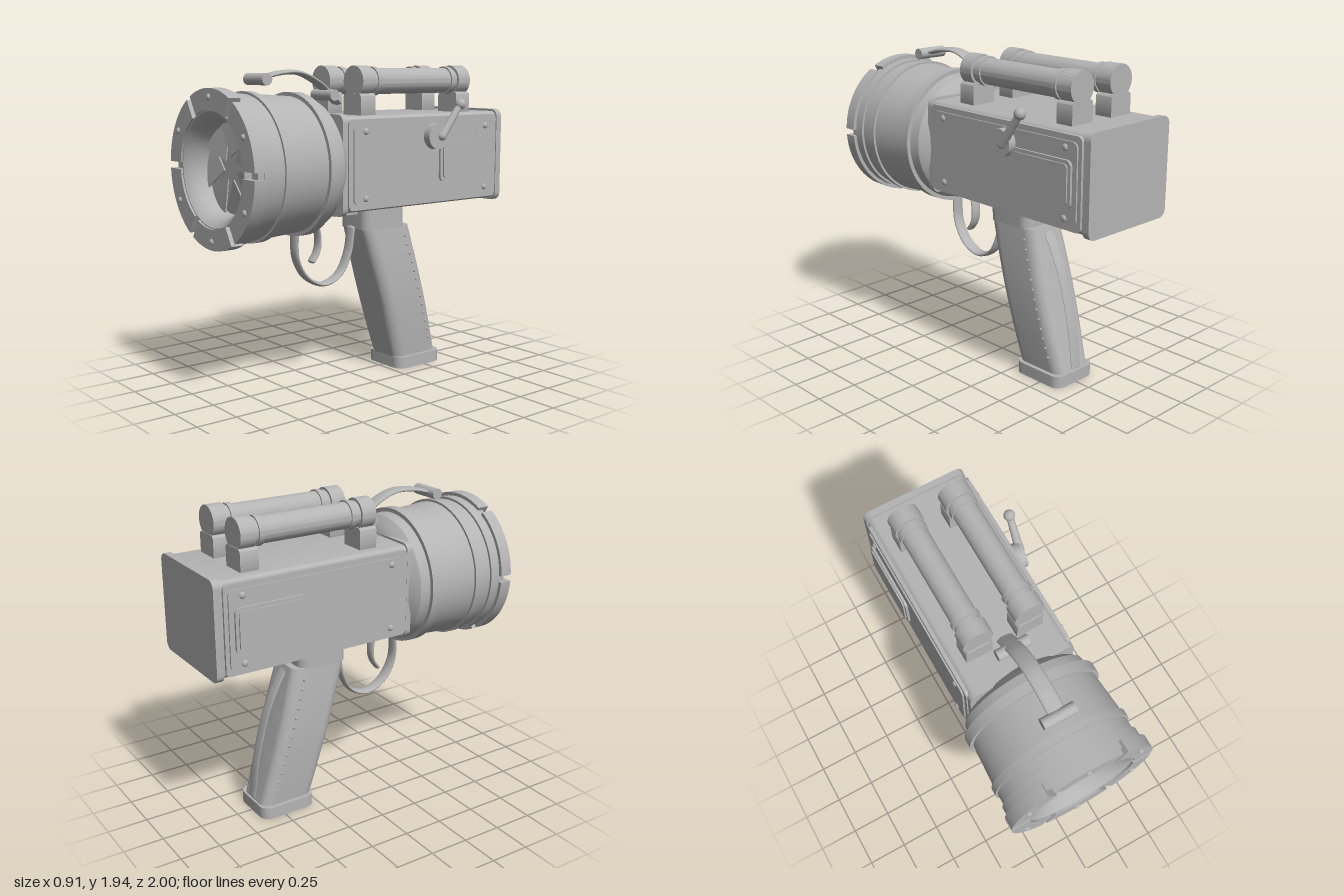
import * as THREE from 'three';
import { toCreasedNormals } from 'three/addons/utils/BufferGeometryUtils.js';

export function createModel() {
  const root = new THREE.Group();
  root.name = 'lampGun';
  const grey = new THREE.MeshStandardMaterial({ color: 0xb4b4b4 });
  grey.name = 'grey';

  const add = (name, geo, x = 0, y = 0, z = 0, parent = root) => {
    const m = new THREE.Mesh(geo, grey);
    m.name = name;
    m.position.set(x, y, z);
    parent.add(m);
    return m;
  };

  // Rounded rectangle in XY, extruded along +z
  const slab = (w, h, r, depth, steps = 1) => {
    const a = w / 2, b = h / 2, s = new THREE.Shape();
    s.absarc(a - r, b - r, r, 0, Math.PI / 2);
    s.absarc(-a + r, b - r, r, Math.PI / 2, Math.PI);
    s.absarc(-a + r, -b + r, r, Math.PI, Math.PI * 1.5);
    s.absarc(a - r, -b + r, r, Math.PI * 1.5, Math.PI * 2);
    s.closePath();
    return toCreasedNormals(new THREE.ExtrudeGeometry(s, { depth, steps, bevelEnabled: false, curveSegments: 6 }), 0.6);
  };
  // Same, standing on its back: extruded along +y
  const standing = (w, d, r, h, steps) => slab(w, d, r, h, steps).rotateX(-Math.PI / 2);

  // Surface of revolution about z from [radius, z] pairs
  const turned = (pts) => toCreasedNormals(
    new THREE.LatheGeometry(pts.map(p => new THREE.Vector2(...p)), 64).rotateX(Math.PI / 2), 0.5);

  // Flat oval strap through [z, y] points, widened in x, with rounded ends
  const strap = (name, pts, halfWidth, thick) => {
    const g = new THREE.Group();
    g.name = name;
    const v = pts.map(([z, y]) => new THREE.Vector3(0, y, z));
    const k = halfWidth / thick;
    add(name + 'Band', new THREE.TubeGeometry(new THREE.CatmullRomCurve3(v), 40, thick, 16).scale(k, 1, 1), 0, 0, 0, g);
    for (const p of [v[0], v[v.length - 1]]) {
      add(name + 'End', new THREE.SphereGeometry(thick, 16, 10).scale(k, 1, 1), p.x, p.y, p.z, g);
    }
    root.add(g);
  };

  const cy = 1.36; // barrel axis height

  // Barrel shell with hoops and an inner bowl
  add('barrel', turned([
    [0, 0.265], [0.29, 0.265], [0.34, 0.29], [0.388, 0.335], [0.4, 0.397],
    [0.425, 0.397], [0.425, 0.46], [0.402, 0.46], [0.42, 0.724],
    [0.434, 0.724], [0.434, 0.77], [0.42, 0.77], [0.42, 0.847],
    [0.434, 0.847], [0.434, 0.91], [0.338, 0.91], [0.338, 0.975],
    [0.328, 0.975], [0.303, 0.955], [0.28, 0.915], [0.267, 0.865], [0.262, 0.81], [0, 0.81],
  ]), 0, cy, 0);

  // Front ring: six segments, screws and joining blocks
  for (let i = 0; i < 6; i++) {
    const a = i * Math.PI / 3, e = a + Math.PI / 3;
    const s = new THREE.Shape();
    s.absarc(0, 0, 0.455, a + 0.044, e - 0.044, false);
    s.absarc(0, 0, 0.335, e - 0.06, a + 0.06, true);
    s.closePath();
    add('ringSegment', toCreasedNormals(new THREE.ExtrudeGeometry(s,
      { depth: 0.077, bevelEnabled: false, curveSegments: 14 }), 0.5), 0, cy, 0.91);
    const m = a + Math.PI / 6;
    add('ringScrew', new THREE.SphereGeometry(0.019, 14, 10).scale(1, 1, 0.8),
      0.405 * Math.cos(m), cy + 0.405 * Math.sin(m), 0.985);
    add('ringBlock', new THREE.BoxGeometry(0.06, 0.04, 0.05),
      0.4 * Math.cos(a), cy + 0.4 * Math.sin(a), 0.925).rotation.z = a;
  }

  // Iris: overlapping tilted blades
  for (let i = 0; i < 7; i++) {
    const s = new THREE.Shape();
    s.moveTo(0.03, -0.05);
    s.absarc(0, 0, 0.26, -0.3, 0.75, false);
    s.lineTo(0.06, 0.03);
    s.closePath();
    const g = new THREE.ExtrudeGeometry(s, { depth: 0.008, bevelEnabled: false });
    const p = g.attributes.position;
    for (let j = 0; j < p.count; j++) p.setZ(j, p.getZ(j) + 0.022 + 0.035 * Math.atan2(p.getY(j), p.getX(j) + 0.05));
    add('irisBlade', toCreasedNormals(g, 0.3), 0, cy, 0.815).rotation.z = i * Math.PI * 2 / 7 + 0.2;
  }

  // Body box with end flanges
  add('body', slab(0.64, 0.563, 0.04, 1.24), 0, 1.365, -0.97);
  add('frontFlange', slab(0.66, 0.593, 0.05, 0.035), 0, 1.363, 0.27);
  add('backFlange', slab(0.66, 0.593, 0.05, 0.043), 0, 1.363, -1);

  // Side plates, raised panel and screws on both sides
  for (const sx of [1, -1]) {
    const side = new THREE.Group();
    side.name = sx > 0 ? 'leftSide' : 'rightSide';
    const plate = (name, w, h, r, d, x, y, z) => {
      add(name, slab(w, h, r, d), sx * x, y, z, side).rotation.y = sx * Math.PI / 2;
    };
    plate('sidePlate', 1.21, 0.53, 0.03, 0.025, 0.31, 1.365, -0.34);
    plate('innerPlate', 1.155, 0.465, 0.035, 0.025, 0.32, 1.365, -0.343);
    plate('panelFrame', 0.455, 0.268, 0.035, 0.02, 0.34, 1.362, -0.662);
    plate('panelFace', 0.415, 0.228, 0.025, 0.012, 0.357, 1.362, -0.662);
    for (const y of [1.56, 1.167]) for (const z of [0.147, -0.835]) {
      add('sideScrew', new THREE.SphereGeometry(0.02, 14, 10).scale(0.6, 1, 1), sx * 0.345, y, z, side);
    }
    root.add(side);
  }

  // Lever on the left side
  const disc = new THREE.CylinderGeometry(0.08, 0.08, 0.05, 32).rotateZ(Math.PI / 2);
  add('leverDisc', disc, 0.37, 1.512, -0.386);
  const from = new THREE.Vector3(0.395, 1.512, -0.41), to = new THREE.Vector3(0.402, 1.703, -0.555);
  const rod = add('leverRod', new THREE.CylinderGeometry(0.02, 0.028, from.distanceTo(to), 20));
  rod.position.copy(from).lerp(to, 0.5);
  rod.quaternion.setFromUnitVectors(new THREE.Vector3(0, 1, 0), to.clone().sub(from).normalize());
  add('leverFoot', new THREE.SphereGeometry(0.028, 20, 12), from.x, from.y, from.z);
  add('leverKnob', new THREE.SphereGeometry(0.034, 20, 14), to.x, to.y, to.z);

  // Twin tubes on top, each on two blocks
  for (const x of [0.16, -0.16]) {
    add('topTube', turned([
      [0, -0.785], [0.093, -0.785], [0.093, -0.686], [0.078, -0.686], [0.078, -0.665],
      [0.087, -0.665], [0.087, -0.632], [0.078, -0.632], [0.078, -0.065],
      [0.087, -0.065], [0.087, -0.032], [0.078, -0.032], [0.078, 0],
      [0.093, 0], [0.093, 0.095], [0, 0.095],
    ]), x, 1.845, 0);
    for (const z of [0.048, -0.732]) {
      add('tubeBlock', slab(0.165, 0.15, 0.025, 0.114), x, 1.7, z - 0.057);
    }
  }

  // Carrying strap with two cross pins
  strap('topStrap', [[0.1, 1.716], [0.165, 1.775], [0.25, 1.84], [0.386, 1.896], [0.52, 1.894], [0.665, 1.86]], 0.05, 0.014);
  for (const [z, y] of [[0.665, 1.86], [0.187, 1.764]]) {
    add('strapPin', new THREE.CylinderGeometry(0.034, 0.034, 0.2, 24).rotateZ(Math.PI / 2), 0, y, z);
  }

  // Under plate, trigger and guard
  add('underPlate', new THREE.BoxGeometry(0.16, 0.05, 0.305), 0, 1.056, 0.152);
  strap('trigger', [[0.29, 1.04], [0.255, 0.96], [0.244, 0.87], [0.258, 0.81], [0.292, 0.76]], 0.035, 0.013);
  strap('triggerGuard', [[0.418, 0.96], [0.411, 0.79], [0.338, 0.665], [0.209, 0.606],
    [0.086, 0.654], [0.016, 0.777], [-0.013, 0.935]], 0.04, 0.014);

  // Grip: slanted, slightly swollen column
  const y0 = 0.07, h = 0.868;
  const halfWidth = t => 0.137 + 0.022 * Math.sin(Math.PI * t);
  const grip = standing(2, 2, 0.42, 1, 14);
  const gp = grip.attributes.position;
  for (let i = 0; i < gp.count; i++) {
    const t = gp.getY(i);
    gp.setXYZ(i, gp.getX(i) * halfWidth(t), y0 + t * h,
      gp.getZ(i) * (0.177 + 0.008 * t) - 0.461 + 0.249 * t);
  }
  add('grip', toCreasedNormals(grip, 0.6));
  add('gripNeck', standing(0.28, 0.327, 0.06, 0.16), 0, 0.93, -0.19);
  add('gripBase', standing(0.326, 0.365, 0.06, 0.075), 0, 0, -0.466);
  strap('backStrap', [[-0.4, 0.906], [-0.465, 0.79], [-0.528, 0.643], [-0.606, 0.35], [-0.643, 0.1]], 0.04, 0.007);

  // Rows of studs along the grip sides
  for (let i = 0; i < 13; i++) {
    const k = i / 12, y = 0.869 - 0.697 * k, z = -0.338 - 0.209 * k;
    for (const sx of [1, -1]) {
      add('gripStud', new THREE.SphereGeometry(0.009, 8, 6), sx * halfWidth((y - y0) / h), y, z);
    }
  }
  return root;
}
